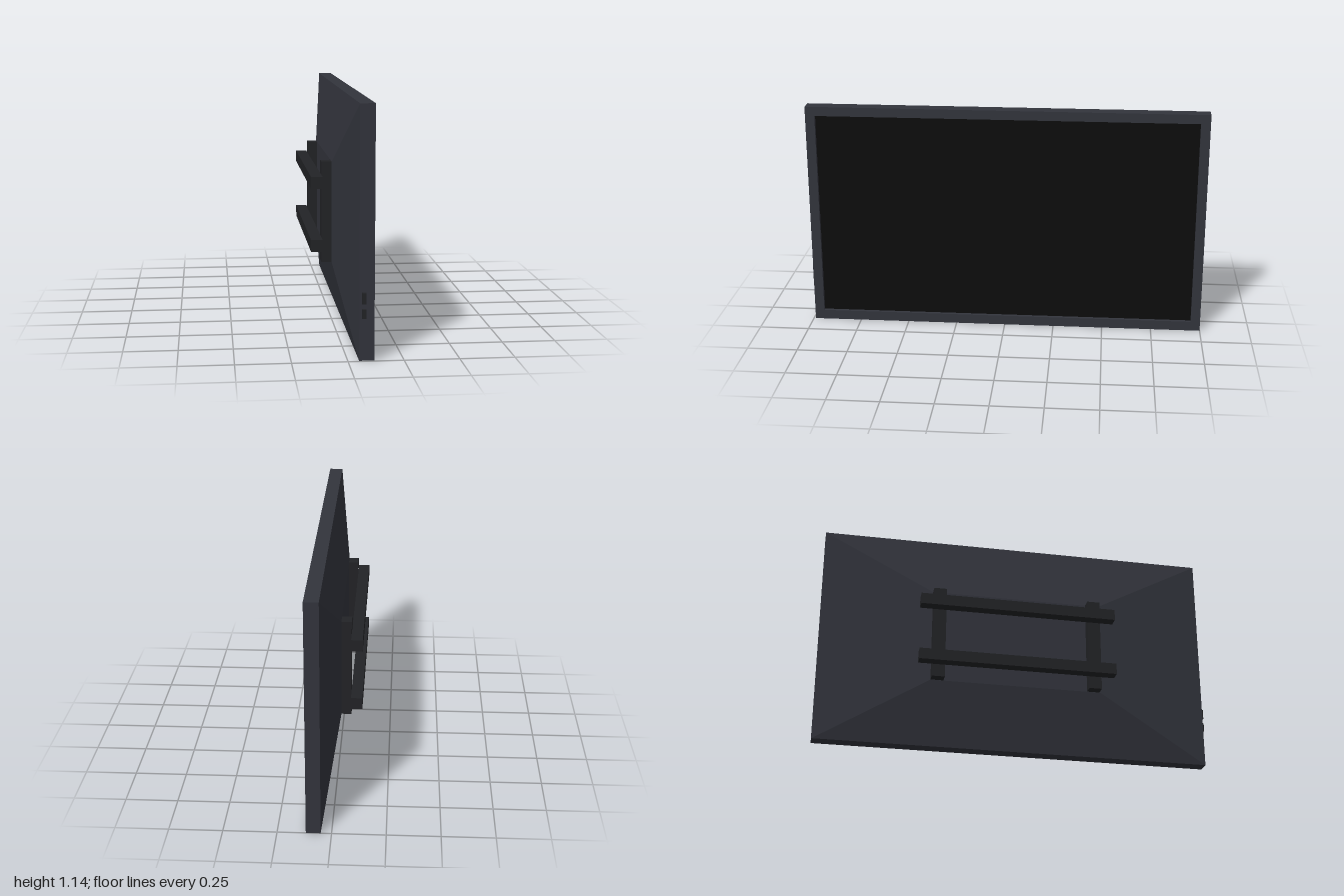
import * as THREE from 'three';

const frameMat = new THREE.MeshStandardMaterial({ color: 0x32343c });
const screenMat = new THREE.MeshStandardMaterial({ color: 0x0d0d0d });
const mountMat = new THREE.MeshStandardMaterial({ color: 0x222326 });

// Box given by its min and max corners
function box(name, min, max, mat) {
  const size = max.map((v, i) => v - min[i]);
  const mesh = new THREE.Mesh(new THREE.BoxGeometry(...size), mat);
  mesh.position.set(...max.map((v, i) => (v + min[i]) / 2));
  mesh.name = name;
  return mesh;
}

// Shrinks one end of a box; rule(x, y, z) returns the new corner
function taper(mesh, rule) {
  const p = mesh.geometry.attributes.position;
  for (let i = 0; i < p.count; i++) p.setXYZ(i, ...rule(p.getX(i), p.getY(i), p.getZ(i)));
  mesh.geometry.computeVertexNormals();
  return mesh;
}

function rectangle(path, u0, v0, u1, v1) {
  path.moveTo(u0, v0);
  path.lineTo(u1, v0);
  path.lineTo(u1, v1);
  path.lineTo(u0, v1);
  path.closePath();
  return path;
}

export function createModel() {
  const group = new THREE.Group();
  group.name = 'wallDisplay';

  // Bezel: a frame with an opening, facing +x (shape u runs along -z)
  const outline = rectangle(new THREE.Shape(), -0.99, 0, 1, 1.14);
  outline.holes.push(rectangle(new THREE.Path(), -0.943, 0.048, 0.953, 1.094));
  const bezelGeo = new THREE.ExtrudeGeometry(outline, { depth: 0.068, bevelEnabled: false });
  bezelGeo.rotateY(Math.PI / 2);
  const bezel = new THREE.Mesh(bezelGeo, frameMat);
  bezel.position.x = 0.05;
  bezel.name = 'bezel';
  group.add(bezel);

  // Recessed screen panel
  group.add(box('screen', [0.052, 0.048, -0.953], [0.1, 1.094, 0.943], screenMat));

  // Rear cover narrowing to a flat central plate
  const cover = box('rearCover', [-0.017, 0, -1], [0.05, 1.14, 0.99], frameMat);
  group.add(taper(cover, (x, y, z) =>
    x < 0 ? [x, y * 0.428, z * 0.437] : [x, y, z]));

  // Wall mount: two uprights and two horizontal rails
  for (const z of [-0.44, 0.36])
    group.add(box('mountUpright', [-0.066, 0.327, z], [-0.016, 0.814, z + 0.065], mountMat));
  for (const y of [0.391, 0.694])
    group.add(box('mountRail', [-0.121, y, -0.51], [-0.066, y + 0.057, 0.49], mountMat));

  // Side buttons with a slightly narrowed face
  for (const [y0, y1] of [[0.19, 0.236], [0.255, 0.311]]) {
    const button = box('sideButton', [0.061, y0, 0.985], [0.083, y1, 1], mountMat);
    group.add(taper(button, (x, y, z) =>
      z > 0 ? [x * 0.75, y * 0.88, z] : [x, y, z]));
  }
  return group;
}
